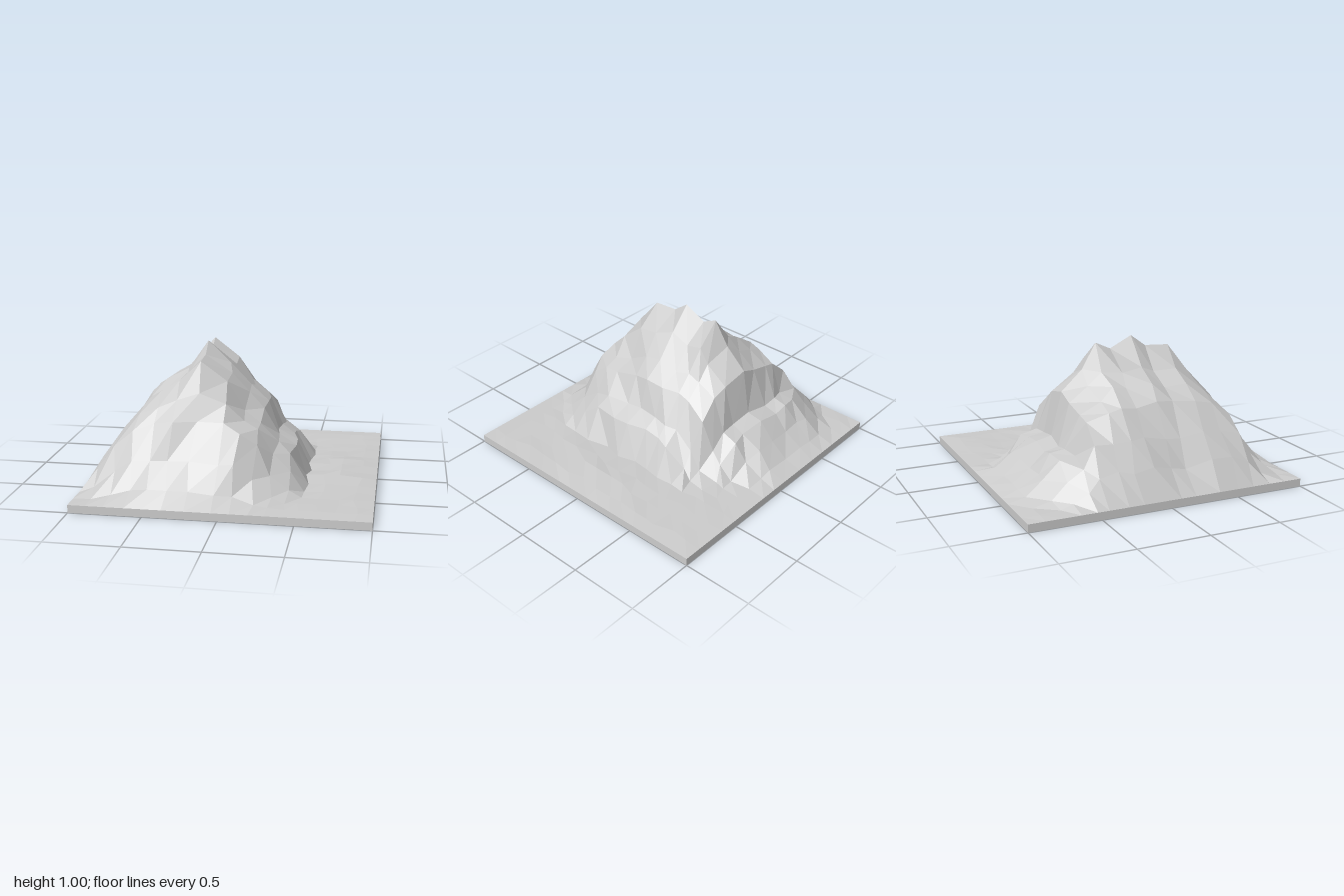
import * as THREE from 'three';

const GROUND = 0.06;

// Skyline from left to right edge of the grid: x, height
const SKYLINE_X = [
  [-1, 0.06], [-0.88, 0.27], [-0.76, 0.43], [-0.62, 0.61], [-0.5, 0.71], [-0.37, 0.81], [-0.22, 1], [-0.04, 0.83],
  [0.08, 0.68], [0.2, 0.56], [0.31, 0.36], [0.41, 0.29], [0.52, 0.07], [0.64, 0.075], [0.76, 0.08], [0.88, 0.07], [1, 0.06],
];

// Skyline from back to front: z, height
const SKYLINE_Z = [
  [-1, 0.06], [-0.88, 0.1], [-0.75, 0.2], [-0.64, 0.31], [-0.53, 0.33], [-0.45, 0.64], [-0.31, 0.8], [-0.2, 0.97],
  [-0.09, 0.92], [0.07, 1], [0.18, 0.92], [0.36, 0.91], [0.5, 0.72], [0.62, 0.56], [0.75, 0.31], [0.87, 0.14], [1, 0.06],
];

// Hollows in the flanks: x, z, depth, width
const GULLIES = [
  [0.11, 0.4, 0.11, 0.11],
  [-0.84, 0.17, 0.09, 0.11],
  [-0.84, -0.22, 0.06, 0.09],
];

function seeded(seed) {
  return () => {
    seed = (seed * 16807) % 2147483647;
    return seed / 2147483647 - 0.5;
  };
}

// How far the corners of the footprint are rounded off, by quadrant
function cornerWeight(x, z) {
  if (x < -0.24 && z > 0) return 0.8;
  return x > 0 && z < 0 ? 1.3 : 1;
}

// Both skylines meet in a soft minimum, then corners and gullies are cut away
function heightAt(x, z, skyX, skyZ) {
  const body = 1 / Math.cbrt(1 / skyX ** 3 + 1 / skyZ ** 3 - 1);
  const corner = cornerWeight(x, z) * Math.abs((x + 0.24) / 0.76) * Math.abs(z / 0.93);
  const keep = 1 - THREE.MathUtils.smoothstep(corner, 0.3, 0.68);
  let height = GROUND + (body - GROUND) * keep;
  for (const [gx, gz, depth, width] of GULLIES) {
    height -= depth * Math.exp(-((x - gx) ** 2 + (z - gz) ** 2) / width ** 2);
  }
  return height;
}

function terrainGeometry() {
  const last = SKYLINE_X.length - 1;
  const geometry = new THREE.PlaneGeometry(2, 2, last, last).rotateX(-Math.PI / 2);
  const pos = geometry.attributes.position;
  const rand = seeded(4217);
  SKYLINE_Z.forEach(([z, skyZ], j) => {
    SKYLINE_X.forEach(([x, skyX], i) => {
      const index = j * (last + 1) + i;
      if (i % last === 0 || j % last === 0) {
        pos.setXYZ(index, x, 0.055, z);
        return;
      }
      const h = heightAt(x, z, skyX, skyZ);
      const loose = h > 0.9 ? 0 : 1; // summits keep their place
      const dx = rand() * 0.045 * loose;
      const dy = rand() * (h > 0.1 ? 0.03 : 0.01) * loose;
      const dz = rand() * 0.045 * loose;
      pos.setXYZ(index, x + dx, Math.max(GROUND, h + dy), z + dz);
    });
  });
  geometry.computeVertexNormals();
  return geometry;
}

export function createModel() {
  const model = new THREE.Group();
  model.name = 'mountainTerrain';
  const material = new THREE.MeshStandardMaterial({ color: 0xcccccc, flatShading: true });

  // Faceted mountain rising from the surrounding plain
  const mountain = new THREE.Mesh(terrainGeometry(), material);
  mountain.name = 'mountain';
  model.add(mountain);

  // Square slab below the terrain
  const slab = new THREE.Mesh(new THREE.BoxGeometry(2, 0.055, 2), material);
  slab.position.y = 0.0275;
  slab.name = 'baseSlab';
  model.add(slab);

  return model;
}
